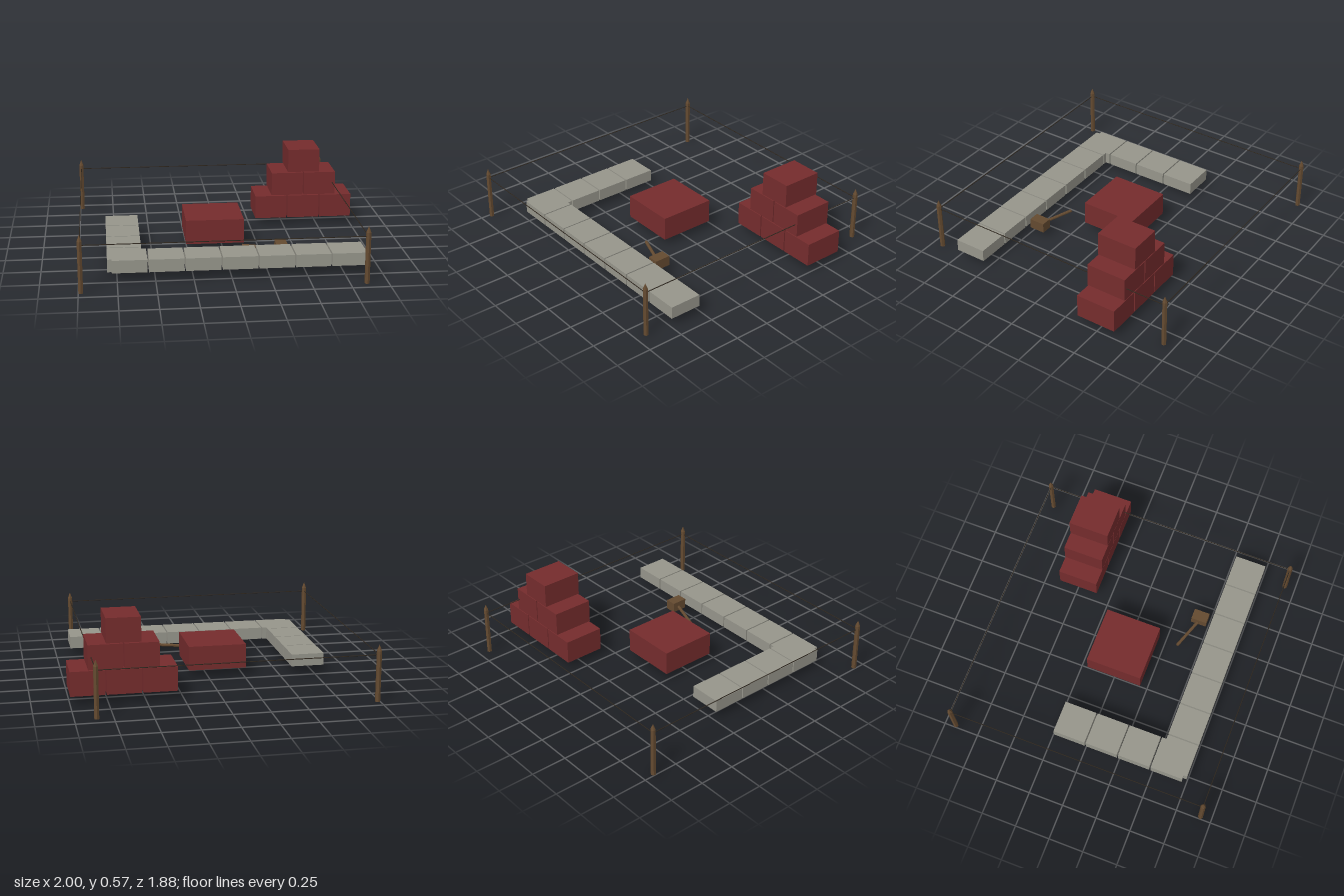
import * as THREE from 'three';

export function createModel() {
  const group = new THREE.Group();
  group.name = 'buildingSite';

  const mat = (name, color, flatShading = false) => {
    const m = new THREE.MeshStandardMaterial({ color, flatShading });
    m.name = name;
    return m;
  };
  const brickRed = mat('brickRed', 0x752c2d);
  const stoneGrey = mat('stoneGrey', 0x96958b);
  const wood = mat('wood', 0x644a30, true);
  const cord = mat('cord', 0x30281f);

  const add = (name, geometry, material, x, y, z, parent = group) => {
    const mesh = new THREE.Mesh(geometry, material);
    mesh.name = name;
    mesh.position.set(x, y, z);
    parent.add(mesh);
    return mesh;
  };

  // Cylinder running between two points
  const rod = (name, a, b, radius, sides, material) => {
    const dir = b.clone().sub(a);
    const mid = a.clone().add(b).multiplyScalar(0.5);
    const mesh = add(name, new THREE.CylinderGeometry(radius, radius, dir.length(), sides), material, mid.x, mid.y, mid.z);
    mesh.quaternion.setFromUnitVectors(new THREE.Vector3(0, 1, 0), dir.normalize());
    return mesh;
  };

  const ground = 0.06;

  // Stone foundation: long front row and left side row meeting at a corner
  const stoneH = 0.086;
  const frontStone = new THREE.BoxGeometry(0.232, stoneH, 0.226);
  for (let i = 0; i < 7; i++) {
    add('frontStone', frontStone, stoneGrey, -0.668 + i * 0.2415, ground + stoneH / 2, 0.631);
  }
  const sideStone = new THREE.BoxGeometry(0.23, stoneH, 0.232);
  for (let i = 0; i < 4; i++) {
    add('sideStone', sideStone, stoneGrey, -0.698, ground + stoneH / 2, -0.121 + i * 0.241);
  }

  // Stepped pile of bricks, 3-2-1
  const brickH = 0.167;
  const brick = new THREE.BoxGeometry(0.23, brickH, 0.287);
  for (let row = 0; row < 3; row++) {
    for (let i = 0; i < 3 - row; i++) {
      const x = 0.645 + (i - (2 - row) / 2) * 0.239;
      add('pileBrick', brick, brickRed, x, ground + brickH / 2 + row * 0.1735, -0.491);
    }
  }

  // Large block in the middle
  add('largeBlock', new THREE.BoxGeometry(0.402, 0.17, 0.402), brickRed, -0.061, ground + 0.085, 0);

  // Mallet lying on the ground
  add('malletHead', new THREE.BoxGeometry(0.077, 0.072, 0.113), wood, 0.3675, ground + 0.036, 0.43);
  rod('malletHandle', new THREE.Vector3(0.113, 0.088, 0.345), new THREE.Vector3(0.36, 0.088, 0.433), 0.011, 8, wood);

  // Pointed corner stakes
  const corners = [[-0.984, -0.922], [0.859, -0.922], [0.859, 0.922], [-0.984, 0.922]];
  const shaftH = 0.345, tipH = 0.043, stakeR = 0.0175;
  const shaft = new THREE.CylinderGeometry(stakeR, stakeR, shaftH, 6);
  const tip = new THREE.ConeGeometry(stakeR, tipH, 6, 1, true);
  corners.forEach(([x, z]) => {
    const stake = new THREE.Group();
    stake.name = 'stake';
    stake.position.set(x, 0, z);
    group.add(stake);
    add('stakeShaft', shaft, wood, 0, shaftH / 2, 0, stake);
    add('stakeTip', tip, wood, 0, shaftH + tipH / 2, 0, stake);
  });

  // Guide line strung around the stakes
  corners.forEach(([x, z], i) => {
    const [x2, z2] = corners[(i + 1) % 4];
    rod('guideLine', new THREE.Vector3(x, 0.319, z), new THREE.Vector3(x2, 0.319, z2), 0.003, 6, cord);
  });

  return group;
}
